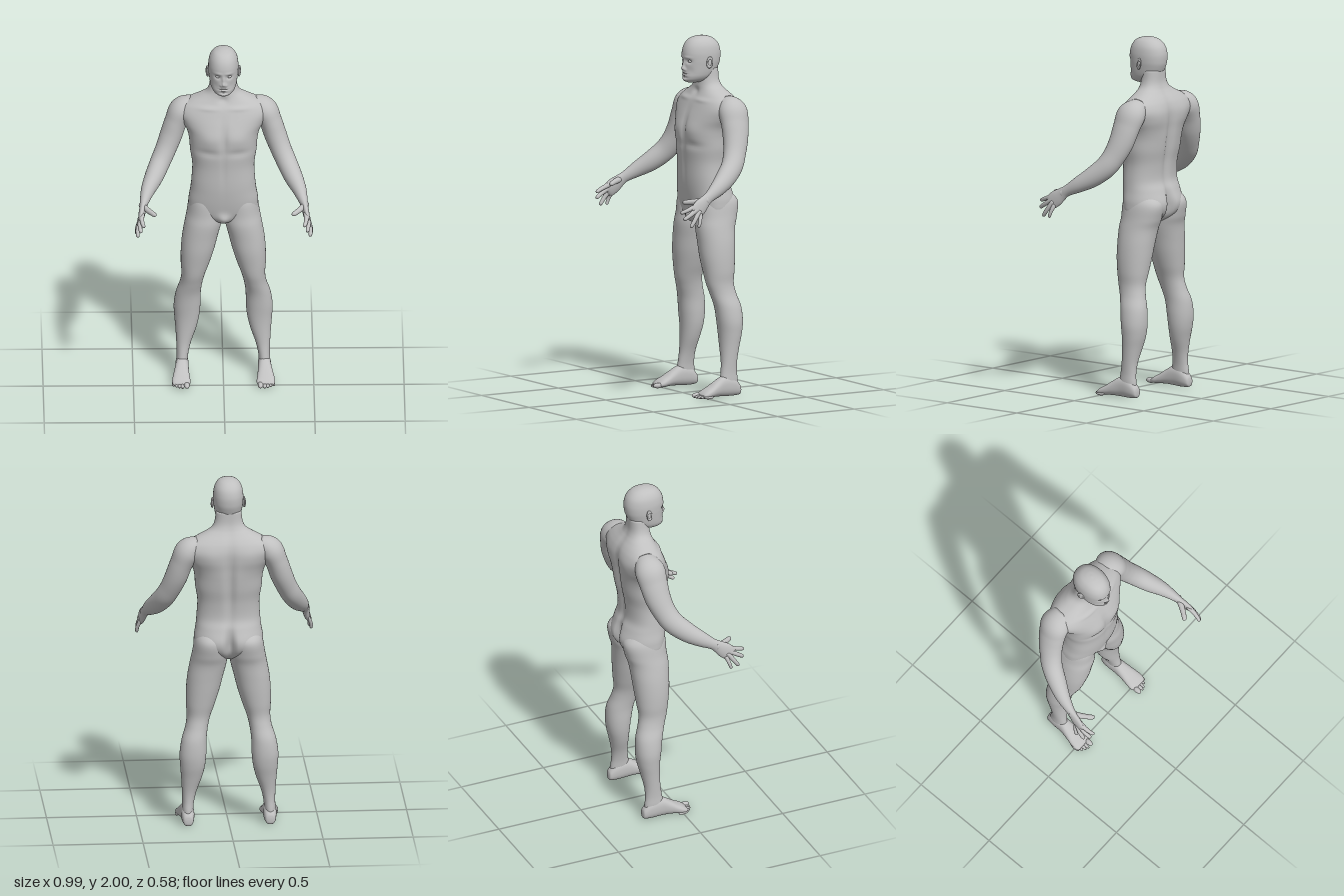
import * as THREE from 'three';

const skin = new THREE.MeshStandardMaterial({ color: 0xc0c0c0 });
skin.name = 'skin grey';

// Smooth interpolation through rows of numbers; t counts rows
function sample(rows, t) {
  const n = rows.length - 1;
  t = Math.min(Math.max(t, 0), n);
  const i = Math.min(Math.floor(t), n - 1), f = t - i;
  return rows[i].map((_, k) => {
    const b = rows[i][k], c = rows[i + 1][k];
    const a = i > 0 ? rows[i - 1][k] : 2 * b - c;
    const d = i + 2 <= n ? rows[i + 2][k] : 2 * c - b;
    return b + 0.5 * f * (c - a + f * (2 * a - 5 * b + 4 * c - d + f * (3 * (b - c) + d - a)));
  });
}

// Closed skin over rings; ringPoint(row, angle, t) gives a Vector3
function loft(rows, ringPoint, around = 48, steps = 6, mirror = 1) {
  const pos = [], idx = [], count = (rows.length - 1) * steps;
  const centres = [];
  for (let i = 0; i <= count; i++) {
    const t = i / steps, row = sample(rows, t), c = new THREE.Vector3();
    for (let j = 0; j < around; j++) {
      const p = ringPoint(row, (j / around) * Math.PI * 2, t);
      p.x *= mirror;
      c.addScaledVector(p, 1 / around);
      pos.push(p.x, p.y, p.z);
    }
    if (i === 0 || i === count) centres.push(c);
  }
  const first = pos.length / 3, last = first + 1;
  centres.forEach(c => pos.push(c.x, c.y, c.z));
  for (let j = 0; j < around; j++) {
    const k = (j + 1) % around, e = count * around;
    for (let i = 0; i < count; i++) {
      const o = i * around;
      idx.push(o + j, o + around + j, o + k, o + k, o + around + j, o + around + k);
    }
    idx.push(first, j, k, last, e + k, e + j);
  }
  // Turn the faces outward, judged by the enclosed volume
  let volume = 0;
  const v = i => new THREE.Vector3().fromArray(pos, i * 3);
  for (let i = 0; i < idx.length; i += 3) volume += v(idx[i]).dot(v(idx[i + 1]).cross(v(idx[i + 2])));
  if (volume < 0) idx.reverse();
  const g = new THREE.BufferGeometry();
  g.setAttribute('position', new THREE.Float32BufferAttribute(pos, 3));
  g.setIndex(idx);
  g.computeVertexNormals();
  return g;
}

const power = (v, e) => Math.sign(v) * Math.abs(v) ** e;

// Horizontal ring: row = [y, x centre, half width, z front, z middle, z back]
// Bumps: [x, y, x spread, y spread, depth, 1 front or -1 back], mirrored in x
const level = (e, bumps = []) => ([y, xc, w, zf, zc, zb], a) => {
  const c = Math.cos(a), s = Math.sin(a);
  const p = new THREE.Vector3(xc + w * power(c, e), y, zc + (s > 0 ? zf - zc : zc - zb) * power(s, e));
  let dz = 0;
  for (const [bx, by, sx, sy, d, side] of bumps) {
    const fall = ((Math.abs(p.x) - bx) / sx) ** 2 + ((y - by) / sy) ** 2;
    dz += side * d * Math.exp(-fall) * Math.max(0, side * s);
  }
  p.z += dz;
  return p;
};

// Tube with oval section: row = [x, y, z, thickness, breadth]
function limb(rows, around, steps, mirror) {
  const at = t => new THREE.Vector3().fromArray(sample(rows, t));
  return loft(rows, ([x, y, z, a, b], ang, t) => {
    const dir = at(t + 0.02).sub(at(t - 0.02)).normalize();
    const u = new THREE.Vector3(1, 0, 0).cross(dir).normalize();
    const v = dir.clone().cross(u);
    return new THREE.Vector3(x, y, z).addScaledVector(v, a * Math.cos(ang)).addScaledVector(u, b * Math.sin(ang));
  }, around, steps, mirror);
}

export function createModel() {
  const model = new THREE.Group();
  model.name = 'standingFigure';
  const add = (name, geometry, parent = model) => {
    const m = new THREE.Mesh(geometry, skin);
    m.name = name;
    parent.add(m);
    return m;
  };
  const ball = (name, x, y, z, rx, ry, rz, parent) => {
    const m = add(name, new THREE.SphereGeometry(1, 24, 16), parent);
    m.position.set(x, y, z);
    m.scale.set(rx, ry, rz);
    return m;
  };

  // Neck, chest, waist and hips
  const torso = [
    [1.82, 0.07, -0.11, -0.16, -0.213], [1.76, 0.078, -0.098, -0.16, -0.215],
    [1.725, 0.096, -0.093, -0.165, -0.225], [1.70, 0.135, -0.088, -0.172, -0.24],
    [1.67, 0.195, -0.075, -0.18, -0.262], [1.64, 0.238, -0.057, -0.185, -0.278],
    [1.60, 0.255, -0.04, -0.185, -0.288], [1.55, 0.232, -0.02, -0.175, -0.288],
    [1.50, 0.203, -0.006, -0.16, -0.283], [1.45, 0.19, -0.002, -0.145, -0.278],
    [1.38, 0.184, -0.004, -0.14, -0.268], [1.30, 0.172, -0.01, -0.135, -0.252],
    [1.21, 0.176, -0.012, -0.13, -0.247], [1.15, 0.182, -0.016, -0.135, -0.268],
    [1.08, 0.192, -0.025, -0.14, -0.286], [1.02, 0.18, -0.037, -0.14, -0.27],
    [0.975, 0.08, -0.05, -0.13, -0.22], [0.955, 0.03, -0.07, -0.12, -0.17],
  ].map(([y, w, ...z]) => [y, 0, w, ...z]);
  add('torso', loft(torso, level(0.88, [
    [0.085, 1.48, 0.06, 0.05, 0.008, 1], [0, 1.49, 0.018, 0.09, -0.012, 1],
    [0.09, 1.40, 0.07, 0.02, -0.007, 1], [0, 1.30, 0.012, 0.12, -0.004, 1],
    [0, 1.69, 0.025, 0.02, -0.01, 1], [0.09, 1.65, 0.06, 0.012, 0.006, 1],
    [0, 1.42, 0.025, 0.22, -0.02, -1], [0.11, 1.57, 0.06, 0.07, 0.008, -1],
    [0, 1.06, 0.022, 0.08, -0.045, -1], [0.085, 1.07, 0.05, 0.05, 0.006, -1],
    [0, 0.99, 0.03, 0.03, 0.02, 1],
  ]), 96, 6));

  // Head with face relief
  const head = [
    [2.0, 0.004, -0.115, -0.12, -0.125], [1.995, 0.03, -0.082, -0.12, -0.158],
    [1.98, 0.056, -0.045, -0.12, -0.193], [1.95, 0.075, -0.02, -0.125, -0.22],
    [1.91, 0.083, -0.008, -0.125, -0.232], [1.87, 0.083, -0.008, -0.125, -0.231],
    [1.84, 0.08, -0.01, -0.12, -0.224], [1.80, 0.074, -0.01, -0.11, -0.205],
    [1.775, 0.066, -0.009, -0.10, -0.175], [1.755, 0.05, -0.013, -0.09, -0.14],
    [1.742, 0.025, -0.035, -0.08, -0.115], [1.739, 0.006, -0.065, -0.075, -0.085],
  ].map(([y, w, ...z]) => [y, 0, w, ...z]);
  add('head', loft(head, level(0.92, [
    [0, 1.823, 0.011, 0.012, 0.016, 1], [0, 1.845, 0.008, 0.022, 0.009, 1],
    [0.014, 1.816, 0.007, 0.008, 0.007, 1], [0.033, 1.864, 0.016, 0.012, -0.013, 1],
    [0.03, 1.885, 0.024, 0.008, 0.004, 1], [0, 1.799, 0.02, 0.005, 0.005, 1],
    [0, 1.792, 0.022, 0.003, -0.006, 1], [0, 1.785, 0.018, 0.005, 0.005, 1],
    [0, 1.772, 0.022, 0.006, -0.005, 1], [0, 1.757, 0.02, 0.009, 0.005, 1],
    [0.045, 1.81, 0.016, 0.022, -0.004, 1],
  ]), 128, 10));

  // Limb sections
  const arm = [
    [0.16, 1.64, -0.185, 0.045, 0.055], [0.225, 1.60, -0.185, 0.07, 0.084],
    [0.262, 1.53, -0.178, 0.063, 0.08], [0.29, 1.45, -0.165, 0.062, 0.073],
    [0.32, 1.375, -0.14, 0.058, 0.065], [0.352, 1.31, -0.103, 0.056, 0.062],
    [0.388, 1.25, -0.035, 0.051, 0.056], [0.42, 1.205, 0.035, 0.039, 0.044],
    [0.44, 1.167, 0.1, 0.025, 0.031], [0.447, 1.147, 0.13, 0.02, 0.035],
    [0.455, 1.12, 0.165, 0.018, 0.044], [0.462, 1.096, 0.195, 0.014, 0.042],
    [0.466, 1.086, 0.208, 0.006, 0.034],
  ];
  const leg = [
    [1.14, 0.03, 0.16, -0.06, -0.23], [1.08, 0.012, 0.188, -0.04, -0.284],
    [1.0, 0.006, 0.202, -0.036, -0.274], [0.94, 0.01, 0.214, -0.03, -0.255],
    [0.86, 0.03, 0.228, -0.033, -0.245], [0.78, 0.05, 0.235, -0.037, -0.237],
    [0.70, 0.075, 0.236, -0.048, -0.228], [0.63, 0.10, 0.232, -0.06, -0.22],
    [0.57, 0.115, 0.24, -0.078, -0.23], [0.50, 0.124, 0.262, -0.098, -0.25],
    [0.42, 0.126, 0.274, -0.11, -0.255], [0.35, 0.133, 0.271, -0.118, -0.247],
    [0.28, 0.15, 0.265, -0.121, -0.23], [0.20, 0.178, 0.26, -0.12, -0.213],
    [0.14, 0.192, 0.258, -0.113, -0.21], [0.09, 0.197, 0.26, -0.105, -0.215],
    [0.04, 0.2, 0.258, -0.10, -0.218],
  ].map(([y, a, b, zf, zb]) => [y, (a + b) / 2, (b - a) / 2, zf, (zf + zb) / 2, zb]);
  // Foot rows: z, x centre, half width, sole, top
  const foot = [
    [-0.231, 0.228, 0.012, 0.02, 0.045], [-0.222, 0.228, 0.027, 0.008, 0.07],
    [-0.18, 0.228, 0.036, 0.004, 0.11], [-0.12, 0.229, 0.037, 0.006, 0.118],
    [-0.07, 0.232, 0.042, 0.008, 0.092], [-0.03, 0.234, 0.048, 0.006, 0.066],
    [0.0, 0.234, 0.051, 0.004, 0.05], [0.018, 0.234, 0.047, 0.006, 0.038],
    [0.028, 0.233, 0.04, 0.012, 0.028],
  ];
  const footRing = ([z, xc, w, lo, hi], a) => new THREE.Vector3(
    xc + w * power(Math.cos(a), 0.85), (lo + hi) / 2 + (hi - lo) / 2 * power(Math.sin(a), 0.85), z);
  // Fingers: knuckle, tip, radius
  const fingers = [
    ['indexFinger', [0.453, 1.123, 0.205], [0.445, 1.092, 0.288], 0.0125],
    ['middleFinger', [0.46, 1.104, 0.2], [0.462, 1.055, 0.278], 0.013],
    ['ringFinger', [0.466, 1.086, 0.19], [0.479, 1.012, 0.243], 0.0125],
    ['littleFinger', [0.469, 1.07, 0.175], [0.486, 1.01, 0.195], 0.0105],
    ['thumb', [0.443, 1.152, 0.135], [0.38, 1.14, 0.235], 0.016],
  ];

  for (const [side, m] of [['left', 1], ['right', -1]]) {
    const armGroup = new THREE.Group(), legGroup = new THREE.Group();
    armGroup.name = side + 'ArmAndHand';
    legGroup.name = side + 'LegAndFoot';
    model.add(armGroup, legGroup);

    add(side + 'Arm', limb(arm, 40, 6, m), armGroup);
    for (const [name, a, b, r] of fingers) {
      const along = (f, k, bow) => [...a.map((v, i) => v + (b[i] - v) * f + (i === 0 ? bow : 0)), r * k, r * k];
      const rows = [along(-0.2, 1.15, 0), along(0.3, 1, 0.005), along(0.65, 0.9, 0.004), along(0.92, 0.75, 0), along(1, 0.25, 0)];
      add(side + name[0].toUpperCase() + name.slice(1), limb(rows, 16, 4, m), armGroup);
    }

    add(side + 'Leg', loft(leg, level(0.95), 48, 6, m), legGroup);
    add(side + 'Foot', loft(foot, footRing, 40, 6, m), legGroup);
    for (let i = 0; i < 5; i++) {
      const r = i === 0 ? 0.015 : 0.0105 - i * 0.0004;
      const x = i === 0 ? 0.204 : 0.211 + i * 0.0165, tip = 0.064 - i * i * 0.0022;
      ball(side + 'Toe' + (i + 1), m * x, r + 0.004, tip - 0.03, r, r, 0.03, legGroup);
    }

    // Ear: rim and inner lobe
    const ear = new THREE.Group();
    ear.name = side + 'Ear';
    ear.position.set(m * 0.088, 1.857, -0.123);
    ear.rotation.set(-0.15, m * -0.35 + Math.PI / 2, 0);
    model.add(ear);
    const rim = add(side + 'EarRim', new THREE.TorusGeometry(0.014, 0.005, 10, 28), ear);
    rim.scale.set(1, 1.75, 1);
    ball(side + 'EarInner', 0, -0.003, 0, 0.013, 0.024, 0.005, ear);

    ball(side + 'Eye', m * 0.032, 1.864, -0.031, 0.0125, 0.0085, 0.0125);
  }
  return model;
}
